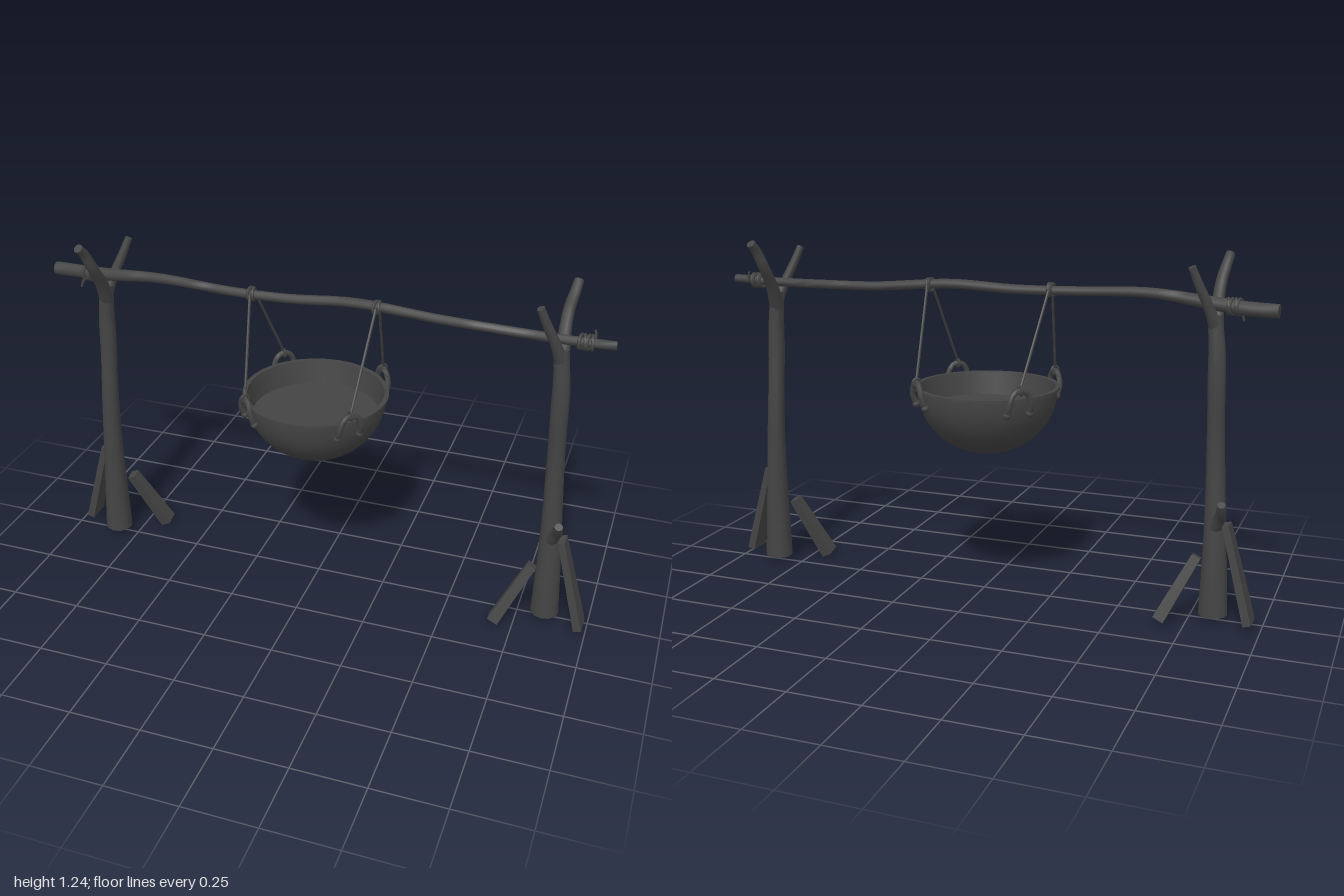
import * as THREE from 'three';
import { toCreasedNormals } from 'three/addons/utils/BufferGeometryUtils.js';

const V = (p) => new THREE.Vector3(...p);
const material = new THREE.MeshStandardMaterial({ color: 0x444444 });
const openMaterial = new THREE.MeshStandardMaterial({ color: 0x444444, side: THREE.DoubleSide });

function add(parent, geometry, name, mat = material) {
  const mesh = new THREE.Mesh(geometry, mat);
  mesh.name = name;
  parent.add(mesh);
  return mesh;
}

// Capped tube through the points, with radii spread evenly along its length
function limb(points, radii, steps = 16, sides = 10) {
  const curve = new THREE.CatmullRomCurve3(points.map(V));
  const frames = curve.computeFrenetFrames(steps);
  const pos = [], idx = [];
  for (let i = -1; i <= steps + 1; i++) {
    const k = Math.min(Math.max(i, 0), steps), u = k / steps;
    const f = u * (radii.length - 1), a = Math.min(Math.floor(f), radii.length - 2);
    const r = i === k ? THREE.MathUtils.lerp(radii[a], radii[a + 1], f - a) : 0;
    const c = curve.getPointAt(u);
    for (let j = 0; j < sides; j++) {
      const t = (j / sides) * Math.PI * 2;
      const p = c.clone()
        .addScaledVector(frames.normals[k], Math.cos(t) * r)
        .addScaledVector(frames.binormals[k], Math.sin(t) * r);
      pos.push(p.x, p.y, p.z);
    }
  }
  for (let i = 0; i < steps + 2; i++) {
    for (let j = 0; j < sides; j++) {
      const a = i * sides + j, b = i * sides + (j + 1) % sides, c = a + sides, d = b + sides;
      if (i > 0) idx.push(a, b, c);
      if (i <= steps) idx.push(b, d, c);
    }
  }
  const g = new THREE.BufferGeometry();
  g.setAttribute('position', new THREE.Float32BufferAttribute(pos, 3));
  g.setIndex(idx);
  return toCreasedNormals(g, 0.9);
}

// Split plank standing between two points, its wide side along z
function plank(parent, top, bottom, thick, wide, name) {
  const a = V(top), b = V(bottom), dir = a.clone().sub(b);
  const g = new THREE.BoxGeometry(thick, dir.length(), wide);
  const p = g.attributes.position;
  for (let i = 0; i < p.count; i++) {
    if (p.getY(i) > 0) p.setXYZ(i, p.getX(i) * 0.8, p.getY(i), p.getZ(i) * 0.7);
  }
  g.computeVertexNormals();
  const mesh = add(parent, g, name);
  mesh.position.copy(a).add(b).multiplyScalar(0.5);
  mesh.quaternion.setFromUnitVectors(new THREE.Vector3(0, 1, 0), dir.normalize());
}

// Forked post with its bracing stakes
function buildPost(name) {
  const post = new THREE.Group();
  post.name = name;
  add(post, limb([[0.838, 0.02, 0], [0.836, 0.2, 0], [0.83, 0.4, -0.005], [0.822, 0.6, -0.008],
    [0.818, 0.8, 0.005], [0.815, 0.92, 0.006], [0.803, 1.04, 0]],
    [0.05, 0.043, 0.036, 0.032, 0.029, 0.03, 0.024], 20, 12), 'trunk');
  add(post, limb([[0.808, 0.98, 0.005], [0.802, 1.06, -0.035], [0.802, 1.14, -0.09], [0.813, 1.195, -0.115],
    [0.818, 1.225, -0.142]], [0.026, 0.023, 0.02, 0.019, 0.016]), 'longProng');
  add(post, limb([[0.81, 0.99, 0], [0.785, 1.07, 0.028], [0.757, 1.14, 0.05], [0.735, 1.2, 0.066]],
    [0.024, 0.018, 0.016, 0.013]), 'shortProng');
  add(post, limb([[0.835, 0.33, 0.01], [0.855, 0.38, 0.04], [0.862, 0.4, 0.06], [0.865, 0.432, 0.082]],
    [0.025, 0.021, 0.018, 0.014], 8), 'branchStub');
  plank(post, [0.878, 0.355, 0.035], [0.968, 0.025, 0.05], 0.028, 0.085, 'outerStake');
  plank(post, [0.785, 0.235, 0.045], [0.675, 0.015, 0.1], 0.04, 0.055, 'innerStake');
  return post;
}

// Rope coils around the beam
function coil(parent, x, y, z, turns, radius, name) {
  for (let i = 0; i < turns; i++) {
    const ring = add(parent, new THREE.TorusGeometry(radius, 0.006, 6, 18), name);
    ring.position.set(x + (i - (turns - 1) / 2) * 0.012, y, z);
    ring.rotation.set(0, Math.PI / 2 + (i % 2 ? 0.15 : -0.15), 0);
  }
}

export function createModel() {
  const model = new THREE.Group();

  // Two posts, half a turn apart
  const right = buildPost('leftPost');
  right.position.x = 0.008;
  const left = buildPost('rightPost');
  left.rotation.y = Math.PI;
  left.position.x = 0.008;
  model.add(right, left);

  // Crooked crossbeam
  add(model, limb([[-1, 1.067, -0.025], [-0.9, 1.07, -0.018], [-0.78, 1.08, -0.002], [-0.58, 1.1, 0.015],
    [-0.3, 1.092, 0.022], [-0.1, 1.09, 0.012], [0.12, 1.1, -0.005], [0.4, 1.08, -0.014],
    [0.6, 1.076, -0.01], [0.8, 1.075, -0.004], [0.98, 1.08, 0.002]],
    [0.024, 0.023, 0.018, 0.016, 0.016, 0.017, 0.017, 0.016, 0.016, 0.016, 0.015], 40), 'crossbeam');
  coil(model, -0.855, 1.073, -0.01, 4, 0.025, 'beamLashing');
  coil(model, 0.885, 1.077, -0.002, 4, 0.023, 'beamLashing');
  add(model, limb([[-0.87, 1.06, 0.01], [-0.88, 1.045, 0.012], [-0.885, 1.025, 0.014]], [0.006, 0.004], 4, 6), 'lashingTail');
  add(model, limb([[0.9, 1.07, -0.02], [0.91, 1.09, -0.028], [0.905, 1.11, -0.03]], [0.006, 0.004], 4, 6), 'lashingTail');

  // Cauldron: round bowl with a thin lip
  const cauldron = new THREE.Group();
  cauldron.name = 'cauldron';
  cauldron.position.set(-0.012, 0, 0);
  model.add(cauldron);
  const profile = [];
  for (let i = 0; i <= 12; i++) {
    const t = (i / 12) * Math.PI / 2;
    profile.push(new THREE.Vector2(0.246 * Math.sin(t), 0.742 - 0.229 * Math.cos(t)));
  }
  for (const [r, y] of [[0.254, 0.743], [0.254, 0.752], [0.238, 0.752], [0.234, 0.73], [0.222, 0.67]]) {
    profile.push(new THREE.Vector2(r, y));
  }
  add(cauldron, toCreasedNormals(new THREE.LatheGeometry(profile, 32), 0.6), 'bowl', openMaterial);
  const contents = add(cauldron, new THREE.CircleGeometry(0.224, 32), 'contents');
  contents.rotation.x = -Math.PI / 2;
  contents.position.y = 0.67;

  // Four rim handles, each hung on a rope from the beam
  for (const sx of [-1, 1]) {
    const beamX = sx < 0 ? -0.232 : 0.2, beamZ = sx < 0 ? 0.02 : -0.008;
    coil(model, beamX, 1.093, beamZ, 2, 0.021, 'ropeLoop');
    for (const sz of [-1, 1]) {
      const handle = new THREE.Group();
      handle.name = 'rimHandle';
      handle.rotation.y = Math.atan2(sx, sz);
      cauldron.add(handle);
      add(handle, limb([[-0.042, 0.7, 0.25], [-0.04, 0.735, 0.263], [-0.025, 0.772, 0.264], [0, 0.783, 0.264],
        [0.025, 0.772, 0.264], [0.04, 0.735, 0.263], [0.042, 0.7, 0.25]], [0.011, 0.01, 0.01, 0.011], 18, 8), 'handleBow');
      for (const s of [-1, 1]) {
        const foot = add(handle, new THREE.SphereGeometry(0.014, 10, 8), 'handleFoot');
        foot.position.set(s * 0.042, 0.7, 0.25);
      }
      const knot = add(handle, new THREE.TorusGeometry(0.014, 0.005, 6, 14), 'ropeKnot');
      knot.position.set(0, 0.783, 0.264);
      knot.rotation.y = Math.PI / 2;
      const end = [-0.012 + sx * 0.187, 0.79, sz * 0.187];
      add(model, limb([[beamX, 1.095, beamZ + sz * 0.02],
        [(beamX + end[0]) / 2, 0.942, (beamZ + sz * 0.02 + end[2]) / 2], end], [0.005, 0.005], 4, 6), 'rope');
    }
  }
  return model;
}
